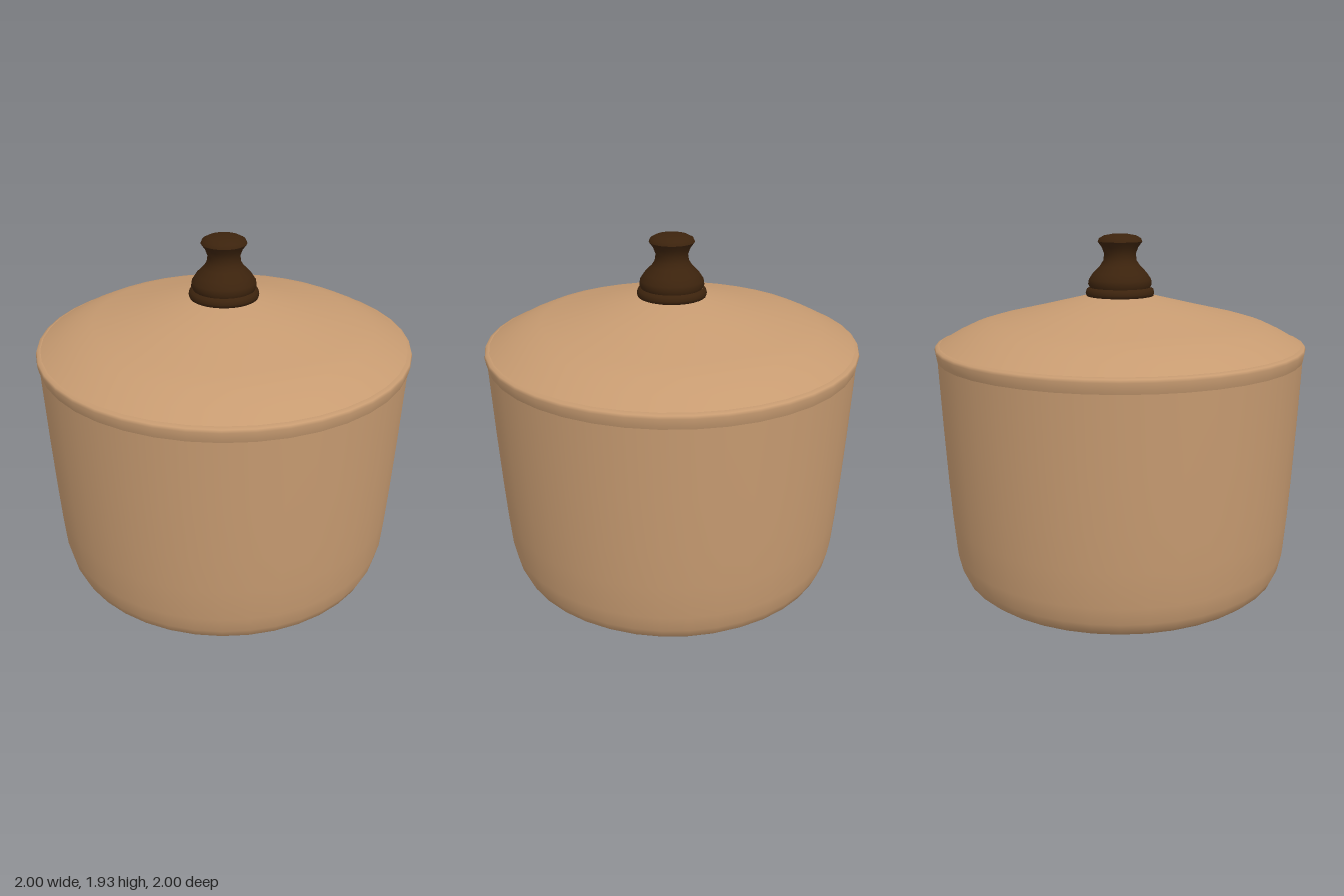
import * as THREE from 'three';

const SEGMENTS = 40;

// Revolve a profile of [radius, height] pairs, listed from bottom to top on the outside
function turned(name, profile, material, segments = SEGMENTS) {
  const points = profile.map(([r, y]) => new THREE.Vector2(r, y));
  const mesh = new THREE.Mesh(new THREE.LatheGeometry(points, segments), material);
  mesh.name = name;
  return mesh;
}

export function createModel() {
  const clay = new THREE.MeshStandardMaterial({ color: 0xc79b71 });
  clay.name = 'tan clay';
  const wood = new THREE.MeshStandardMaterial({ color: 0x3c230d });
  wood.name = 'dark wood';

  const pot = new THREE.Group();
  pot.name = 'lidded pot';

  // Flat base, barely domed downwards
  pot.add(turned('base', [[0, 0], [0.4, 0.005], [0.78, 0.015]], clay));

  // Tapered wall with a rounded foot
  pot.add(turned('wall', [
    [0.78, 0.015], [0.85, 0.035], [0.885, 0.065], [0.908, 0.115], [0.93, 0.21],
    [0.945, 0.4], [0.957, 0.6], [0.972, 0.9], [0.988, 1.28],
  ], clay));

  // Rim band with a rounded lip that turns in under the lid
  pot.add(turned('rim', [
    [0.988, 1.28], [0.994, 1.3], [1, 1.335], [0.995, 1.35], [0.975, 1.357], [0.95, 1.35],
  ], clay));

  // Lid: curved shoulder rising to a straight cone
  pot.add(turned('lid', [
    [0.975, 1.357], [0.9, 1.4], [0.8, 1.447], [0.7, 1.477], [0.45, 1.536], [0.18, 1.602], [0, 1.61],
  ], clay));

  // Turned knob: foot ring, bulb, narrow neck and flared cap
  pot.add(turned('knobFoot', [
    [0.16, 1.598], [0.182, 1.603], [0.186, 1.62], [0.18, 1.638], [0.165, 1.648],
  ], wood, 32));
  pot.add(turned('knobStem', [
    [0.163, 1.645], [0.172, 1.665], [0.168, 1.69], [0.145, 1.725], [0.108, 1.762],
    [0.09, 1.79], [0.085, 1.825], [0.098, 1.86], [0.12, 1.89],
  ], wood, 32));
  pot.add(turned('knobCap', [
    [0.12, 1.89], [0.112, 1.908], [0.085, 1.922], [0.04, 1.93], [0, 1.931],
  ], wood, 32));

  return pot;
}
